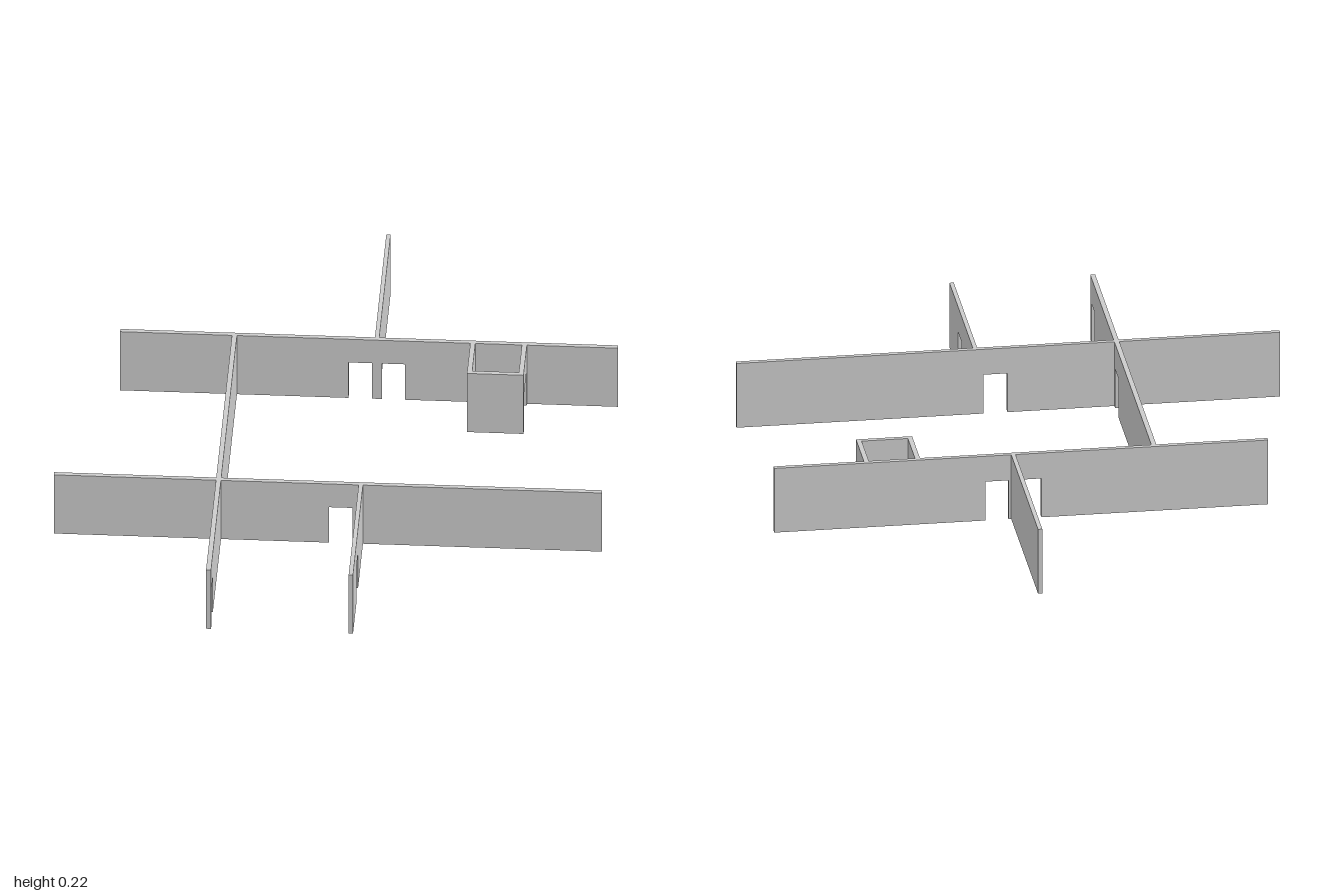
import * as THREE from 'three';

const H = 0.225;      // wall height
const DOOR = 0.136;   // door opening height
const T = 0.016;      // wall thickness

const material = new THREE.MeshStandardMaterial({ color: 0xcccccc });

// Slab from a to b along its length, with door notches [from, to] cut from the floor
function slab(a, b, doors, thickness) {
  const s = new THREE.Shape();
  s.moveTo(a, 0);
  for (const [d0, d1] of doors) {
    s.lineTo(d0, 0);
    s.lineTo(d0, DOOR);
    s.lineTo(d1, DOOR);
    s.lineTo(d1, 0);
  }
  s.lineTo(b, 0);
  s.lineTo(b, H);
  s.lineTo(a, H);
  s.closePath();
  return new THREE.ExtrudeGeometry(s, { depth: thickness, bevelEnabled: false })
    .translate(0, 0, -thickness / 2);
}

// Wall running along x, centred on z
function wallX(name, z, a, b, doors = [], thickness = T) {
  const m = new THREE.Mesh(slab(a, b, doors, thickness), material);
  m.name = name;
  m.position.z = z;
  return m;
}

// Wall running along z, centred on x
function wallZ(name, x, a, b, doors = [], thickness = T) {
  const m = new THREE.Mesh(slab(a, b, doors, thickness).rotateY(-Math.PI / 2), material);
  m.name = name;
  m.position.x = x;
  return m;
}

export function createModel() {
  const model = new THREE.Group();
  model.name = 'floorPlanWalls';

  // Long cross walls
  model.add(
    wallX('frontCrossWall', 0.464, -0.882, 0.882, [[0.003, 0.08]]),
    wallX('backCrossWall', -0.387, -0.72, 0.882, [[0.015, 0.09], [0.122, 0.197]]),
  );

  // Walls running front to back
  model.add(
    wallZ('longSideWall', -0.352, -0.379, 1, [[0.362, 0.438], [0.9, 0.976]]),
    wallZ('frontPartition', 0.106, 0.472, 1, [[0.732, 0.812]], 0.014),
    wallZ('backPartition', 0.106, -1, -0.395, [], 0.014),
  );

  // Small closet, open on its outer side
  const closet = new THREE.Group();
  closet.name = 'closet';
  closet.add(
    wallX('closetFront', -0.21, 0.407, 0.589),
    wallZ('closetInnerSide', 0.415, -0.379, -0.218),
    wallZ('closetOuterSide', 0.581, -0.379, -0.218, [[-0.368, -0.222]]),
  );
  model.add(closet);

  return model;
}
